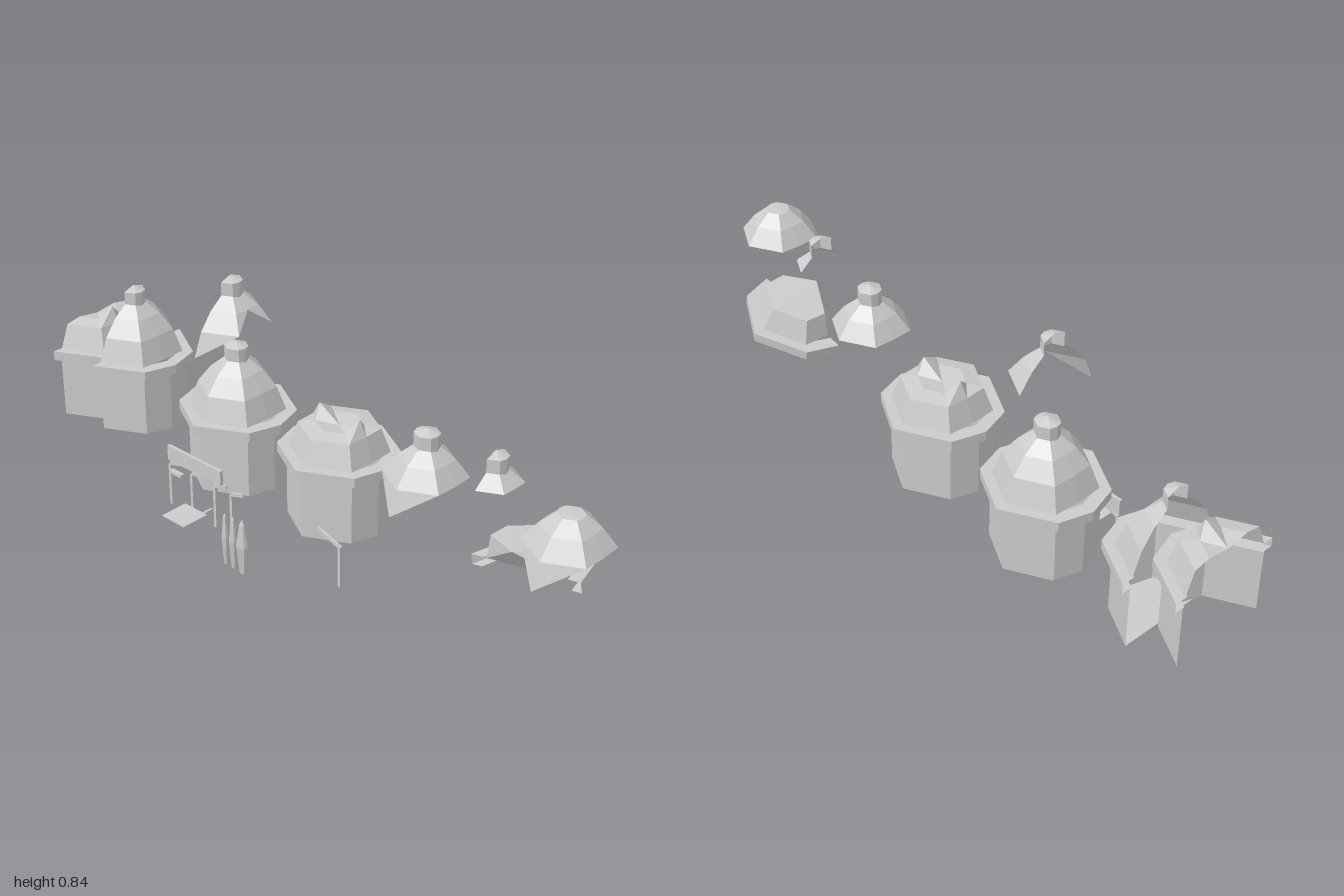
import * as THREE from 'three';

const mat = new THREE.MeshStandardMaterial({ color: 0xcccccc, flatShading: true, side: THREE.DoubleSide });
const PI = Math.PI, A = 0.985;
const HALF = [0, A, PI / 2, PI - A, PI];
const FULL = [...HALF, PI + A, 1.5 * PI, 2 * PI - A, 2 * PI];
const SIDE = [-PI / 2, -A, 0, A, PI / 2];

// Wall profiles: radius, height
const BODY = [[0.153, 0], [0.153, 0.2]];
const FLOOR = [[0, 0], [0.153, 0]];
const RING = [[0.148, 0.2], [0.181, 0.2], [0.181, 0.23], [0.14, 0.23]];
const DOME = [[0.148, 0.23], [0.12, 0.303], [0.08, 0.355], [0.037, 0.39]];
const TURRET = [[0.037, 0.385], [0.037, 0.43], [0, 0.443]];

// Point on the faceted outline; flat pulls the front and back corners onto the chord
function point(r, y, a, flat) {
  const k = flat && Math.abs(Math.cos(a)) < 0.01 ? 0.86 : 1;
  return [r * k * Math.cos(a), y, r * k * Math.sin(a)];
}

function meshOf(name, pts) {
  const g = new THREE.BufferGeometry();
  g.setAttribute('position', new THREE.Float32BufferAttribute(pts.flat(), 3));
  g.computeVertexNormals();
  const m = new THREE.Mesh(g, mat);
  m.name = name;
  return m;
}

// Faceted shell swept round the given angles; rows may vary with the angle
function shell(name, profile, angles, flat = false) {
  const pts = [];
  const at = (i, j) => {
    const row = typeof profile[i] === 'function' ? profile[i](angles[j]) : profile[i];
    return point(row[0], row[1], angles[j], flat);
  };
  for (let i = 0; i < profile.length - 1; i++) {
    for (let j = 0; j < angles.length - 1; j++) {
      const a = at(i, j), b = at(i + 1, j), c = at(i + 1, j + 1), d = at(i, j + 1);
      if (profile[i][0] !== 0) pts.push(a, b, d);
      if (profile[i + 1][0] !== 0) pts.push(b, c, d);
    }
  }
  return meshOf(name, pts);
}

function group(name, x, y, z, ...parts) {
  const g = new THREE.Group();
  g.name = name;
  g.position.set(x, y, z);
  g.add(...parts);
  return g;
}

// Tower with an intact dome
const tower = (name, x, y, z, angles) => group(name, x, y, z,
  shell('floor', FLOOR, angles), shell('wall', BODY, angles), shell('eaves', RING, angles),
  shell('dome', DOME, angles, true), shell('turret', TURRET, angles));

// Collapsed dome with raised broken edges at front and back
const spike = a => Math.abs(Math.cos(a)) < 0.01 ? [0.09, 0.347] : [0.07, 0.312];
const brokenDome = angles => shell('brokenDome', [DOME[0], DOME[1], spike, [0, 0.302]], angles, true);
const brokenTower = (name, x, y, z, angles) => group(name, x, y, z,
  shell('wall', BODY, angles), shell('eaves', RING, angles), brokenDome(angles));

// Loose dome piece with one long torn tip on its right side
function domePiece(name, x, y, z, half, turret, notched) {
  const angles = half ? HALF : FULL;
  const P = (row, a) => point(...DOME[row], a, true);
  const tip = [P(1, PI - A), P(1, PI), P(0, PI)];
  if (!half) tip.push(P(1, PI), P(1, PI + A), P(0, PI));
  const parts = [meshOf('tornTip', tip)];
  if (notched) {
    parts.push(shell('roof', DOME.slice(2), angles, true));
    parts.push(shell('leftFlank', DOME.slice(1, 3), [0, A], true));
    parts.push(shell('rightFlank', DOME.slice(1, 3), [PI - A, PI], true));
    const b = P(2, PI / 2);
    parts.push(meshOf('tornEdge', [P(2, A), b, P(1, A), P(2, PI - A), P(1, PI - A), b]));
  } else parts.push(shell('roof', DOME.slice(1), angles, true));
  if (turret) parts.push(shell('turret', TURRET, angles));
  else parts.push(shell('crown', [DOME[3], [0, 0.392]], angles));
  return group(name, x, y - 0.23, z, ...parts);
}

function box(name, w, h, d, x, y, z) {
  const m = new THREE.Mesh(new THREE.BoxGeometry(w, h, d), mat);
  m.name = name;
  m.position.set(x, y, z);
  return m;
}

// Thin post with a bracket bending forward or back from its top
function post(name, x, y, z, h, reach) {
  const arm = box('arm', 0.008, 0.01, Math.abs(reach), 0, h + 0.01, reach / 2);
  arm.rotation.x = -Math.sign(reach) * 0.3;
  return group(name, x, y, z, box('upright', 0.01, h, 0.01, 0, h / 2, 0), arm);
}

export function createModel() {
  const model = new THREE.Group();
  model.name = 'domedTowerKit';

  // Towers, whole and cut
  model.add(tower('wholeTower', 0.06, 0.167, -0.405, FULL));
  model.add(tower('halfTower', 0.057, 0.207, -0.857, HALF));
  model.add(brokenTower('brokenTower', 0.056, 0.187, 0.015, FULL));
  model.add(brokenTower('brokenHalfTower', 0.022, 0.22, -1, HALF));

  // Loose dome pieces
  model.add(domePiece('raisedDomePiece', 0.02, 0.63, -0.38, true, true, true));
  model.add(domePiece('turretDomePiece', 0.022, 0.415, 0.366, false, true, false));
  model.add(domePiece('frontDomePiece', -0.05, 0.46, 0.892, false, false, false));

  // Broken-off half turret
  model.add(group('turretPiece', 0.004, 0.222, 0.61,
    shell('roof', DOME.slice(2), HALF, true), shell('turret', TURRET, HALF)));

  // Tilted piece of eaves with a crushed dome
  const cap = [];
  const rim = SIDE.map(a => point(...DOME[1], a, true));
  const crown = [-0.065, 0.31, 0.02];
  for (let i = 0; i < 4; i++) cap.push(rim[i], crown, rim[i + 1]);
  const ends = [-1, 1].map(s => point(...DOME[0], s * PI / 2, true));
  cap.push(ends[0], crown, rim[0], ends[1], rim[4], crown, ends[0], ends[1], crown);
  const fallen = group('fallenPiece', 0.01, 0.125, 0.675,
    shell('eaves', RING, SIDE), shell('dome', DOME.slice(0, 2), SIDE, true),
    meshOf('crushedTop', cap));
  fallen.rotation.x = -0.2;
  fallen.position.z -= 0.0;
  fallen.position.z += 0.09;
  model.add(fallen);

  // Brackets, beam and tray beside the towers
  model.add(post('singleBracket', -0.107, 0.093, 0.172, 0.135, -0.09));
  for (const z of [-0.515, -0.42, -0.32, -0.25])
    model.add(post('bracket', -0.121, 0.085, z, 0.14, 0.05));
  model.add(box('beam', 0.01, 0.05, 0.23, -0.122, 0.265, -0.405));
  model.add(box('shortRail', 0.015, 0.01, 0.05, -0.142, 0.22, -0.465));
  model.add(box('tray', 0.093, 0.003, 0.095, -0.199, 0.137, -0.373));
  model.add(box('trayArm', 0.04, 0.006, 0.008, -0.14, 0.137, -0.34));

  // Row of spindles
  [[-0.178, 0.02], [-0.218, 0.013], [-0.252, 0.011]].forEach(([z, r], i) => {
    const profile = [[0, 0], [r * 0.55, 0], [r, 0.093], [r * 0.45, 0.165], [0, 0.185 - i * 0.005]];
    model.add(group('spindle', -0.15, 0, z, shell('spindleBody', profile, FULL)));
  });
  return model;
}
